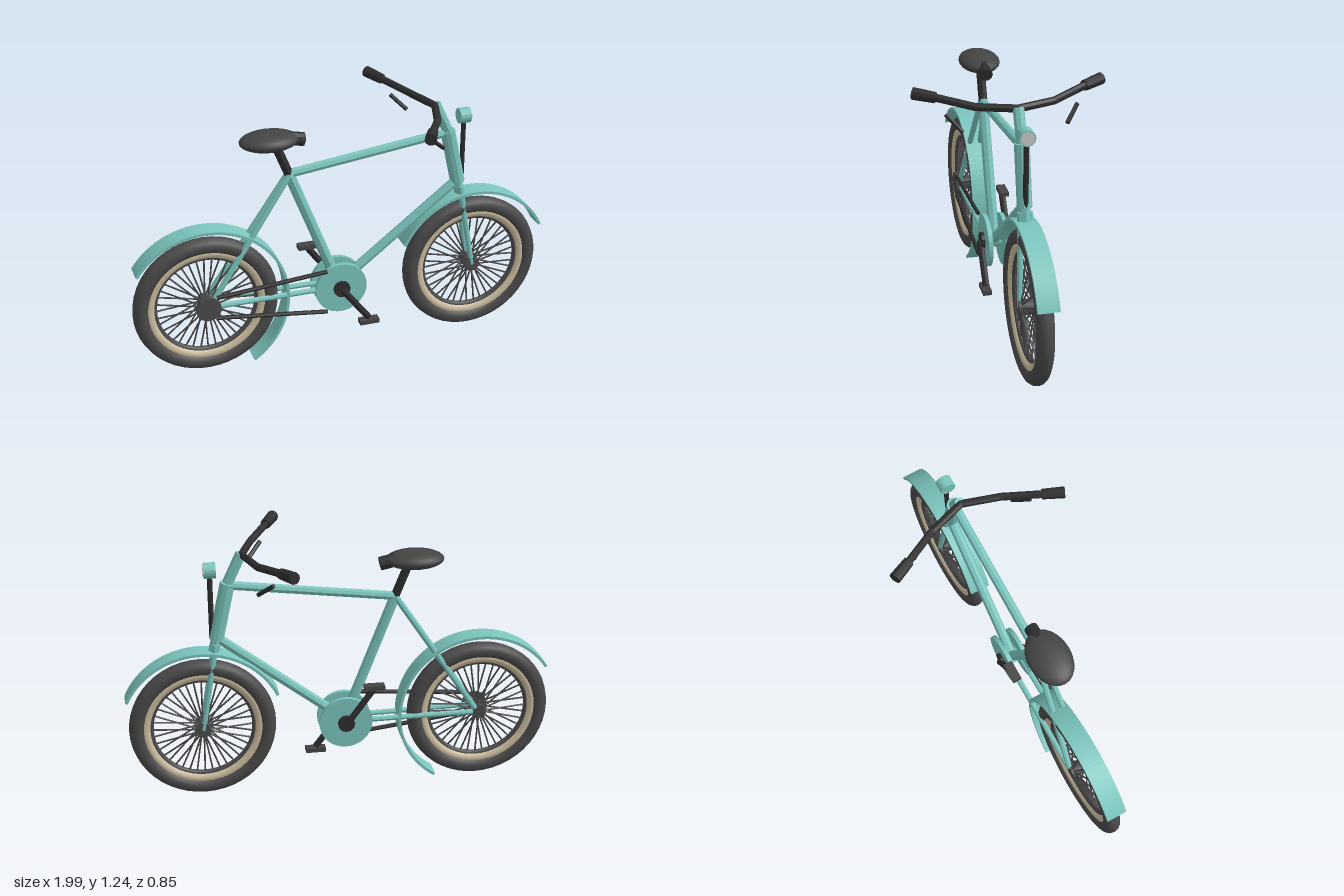
import * as THREE from 'three';

const mat = (color, flatShading = false) => new THREE.MeshStandardMaterial({ color, flatShading });
const teal = mat(0x7bc4bd, true);
const black = mat(0x2e2e2f, true);
const rubber = mat(0x4a4a4a);
const metal = mat(0x4a4a4c);
const cream = mat(0xcdbd9f);
const saddleGrey = mat(0x444444);
const lensGrey = mat(0xbdbdbd);

const V = (x, y, z = 0) => new THREE.Vector3(x, y, z);
const AXLE_Y = 0.346, REAR_X = -0.66, FRONT_X = 0.643;
const BB = V(-0.022, 0.338), SEAT_TOP = V(-0.254, 0.945);

export function createModel() {
  const model = new THREE.Group();

  const add = (parent, name, geometry, material, position) => {
    const mesh = new THREE.Mesh(geometry, material);
    mesh.name = name;
    if (position) mesh.position.copy(position);
    parent.add(mesh);
    return mesh;
  };

  // Straight tube between two points
  const tube = (parent, name, a, b, r, material = teal, sides = 8, r2 = r) => {
    const dir = b.clone().sub(a);
    const mesh = add(parent, name, new THREE.CylinderGeometry(r2, r, dir.length(), sides),
      material, a.clone().add(b).multiplyScalar(0.5));
    mesh.quaternion.setFromUnitVectors(V(0, 1), dir.normalize());
    return mesh;
  };

  // Wheel: tyre, whitewall, rim, hub and spokes
  const wheel = (name, x, hubR) => {
    const g = new THREE.Group();
    g.name = name;
    g.position.set(x, AXLE_Y, 0);
    add(g, 'tyre', new THREE.TorusGeometry(0.302, 0.039, 14, 48), rubber);
    add(g, 'whitewall', new THREE.TorusGeometry(0.266, 0.027, 10, 48), cream);
    add(g, 'rim', new THREE.TorusGeometry(0.242, 0.014, 8, 48), metal);
    tube(g, 'hub', V(0, 0, -0.045), V(0, 0, 0.045), hubR, metal, 16);
    const count = 40;
    for (let i = 0; i < count; i++) {
      const a = (i / count) * Math.PI * 2;
      const b = a + (i % 4 < 2 ? 0.08 : -0.08);
      const z = i % 2 ? 0.032 : -0.032;
      tube(g, 'spoke', V(Math.cos(b) * 0.025, Math.sin(b) * 0.025, z),
        V(Math.cos(a) * 0.24, Math.sin(a) * 0.24, 0), 0.0042, metal, 5);
    }
    model.add(g);
  };
  wheel('rearWheel', REAR_X, 0.034);
  wheel('frontWheel', FRONT_X, 0.036);

  // Mudguards: flat bands following the wheel
  const mudguard = (name, x, from, to) => {
    const a = THREE.MathUtils.degToRad(from), b = THREE.MathUtils.degToRad(to);
    const s = new THREE.Shape();
    s.absarc(0, 0, 0.388, a, b, false);
    s.absarc(0, 0, 0.375, b, a, true);
    const geo = new THREE.ExtrudeGeometry(s, { depth: 0.096, bevelEnabled: false, curveSegments: 28 });
    add(model, name, geo.translate(0, 0, -0.048), mat(0x7bc4bd), V(x, AXLE_Y, 0));
  };
  mudguard('rearMudguard', REAR_X, -57, 146);
  mudguard('frontMudguard', FRONT_X, 25.5, 155.5);

  // Main frame
  const headTop = V(0.507, 1.052), headLow = V(0.566, 0.785);
  tube(model, 'seatTube', BB, SEAT_TOP, 0.025);
  tube(model, 'topTube', SEAT_TOP, V(0.51, 1.042), 0.021);
  tube(model, 'downTube', BB, V(0.56, 0.79), 0.023);
  tube(model, 'headTube', headLow, headTop, 0.034, teal, 10);
  tube(model, 'forkSteerer', V(0.585, 0.7), headLow, 0.025);
  tube(model, 'stem', headTop, V(0.443, 1.188), 0.025);
  tube(model, 'bottomBracket', V(BB.x, BB.y, -0.06), V(BB.x, BB.y, 0.06), 0.035, teal, 12);

  // Paired stays and fork blades
  for (const s of [-1, 1]) {
    tube(model, 'chainStay', V(BB.x, BB.y, s * 0.03), V(REAR_X + 0.03, AXLE_Y, s * 0.04), 0.013);
    tube(model, 'seatStay', V(SEAT_TOP.x, SEAT_TOP.y, s * 0.012),
      V(REAR_X + 0.02, AXLE_Y + 0.02, s * 0.04), 0.014);
    tube(model, 'forkBlade', V(0.572, 0.765, s * 0.02), V(FRONT_X, AXLE_Y, s * 0.037), 0.015, teal, 8, 0.012);
  }

  // Drivetrain: discs, rear sprocket, chain runs
  for (const s of [-1, 1])
    tube(model, 'chainDisc', V(BB.x, BB.y, s * 0.03), V(BB.x, BB.y, s * 0.05), 0.125, teal, 32);
  tube(model, 'rearSprocket', V(REAR_X, AXLE_Y, 0.046), V(REAR_X, AXLE_Y, 0.062), 0.059, metal, 20);
  tube(model, 'upperChain', V(-0.62, 0.402, 0.06), V(-0.095, 0.445, 0.06), 0.01, black, 6);
  tube(model, 'lowerChain', V(-0.62, 0.296, 0.06), V(-0.095, 0.23, 0.06), 0.01, black, 6);

  // Cranks and pedals on opposite sides
  for (const [s, px, py] of [[1, 0.108, 0.165], [-1, -0.15, 0.515]]) {
    const z = s * 0.067;
    tube(model, 'crankBoss', V(BB.x, BB.y, s * 0.045), V(BB.x, BB.y, s * 0.066), 0.04, black, 12);
    tube(model, 'crank', V(BB.x, BB.y, z), V(px, py, z), 0.016, black);
    add(model, 'pedal', new THREE.BoxGeometry(0.095, 0.021, 0.042), saddleGrey,
      V(px, s > 0 ? 0.15 : 0.525, s * 0.07));
  }

  // Saddle
  tube(model, 'seatPost', SEAT_TOP, V(-0.315, 1.1), 0.021, black);
  add(model, 'saddle', new THREE.SphereGeometry(1, 24, 14).scale(0.135, 0.042, 0.095),
    saddleGrey, V(-0.342, 1.119));
  tube(model, 'saddleNose', V(-0.275, 1.124), V(-0.182, 1.104), 0.031, black, 10);

  // Handlebar halves, grips and brake levers
  for (const s of [-1, 1]) {
    const pts = [V(0.44, 1.183, 0), V(0.385, 1.183, s * 0.17), V(0.3, 1.206, s * 0.325), V(0.255, 1.216, s * 0.415)];
    for (let i = 0; i < 2; i++) {
      tube(model, 'handlebar', pts[i], pts[i + 1], 0.017, black);
      add(model, 'handlebarBend', new THREE.SphereGeometry(0.017, 8, 6), black, pts[i]);
    }
    tube(model, 'grip', pts[2], pts[3], 0.024, black, 10, 0.027);
    tube(model, 'brakeLever', V(0.33, 1.138, s * 0.288), V(0.392, 1.078, s * 0.228), 0.01, black, 6);
  }

  // Lamp on its post
  tube(model, 'lampPost', V(0.585, 0.79), V(0.585, 1.1), 0.012, black);
  tube(model, 'lampBody', V(0.558, 1.116), V(0.61, 1.116), 0.036, teal, 16);
  tube(model, 'lampLens', V(0.605, 1.116), V(0.614, 1.116), 0.03, lensGrey, 16);

  return model;
}
